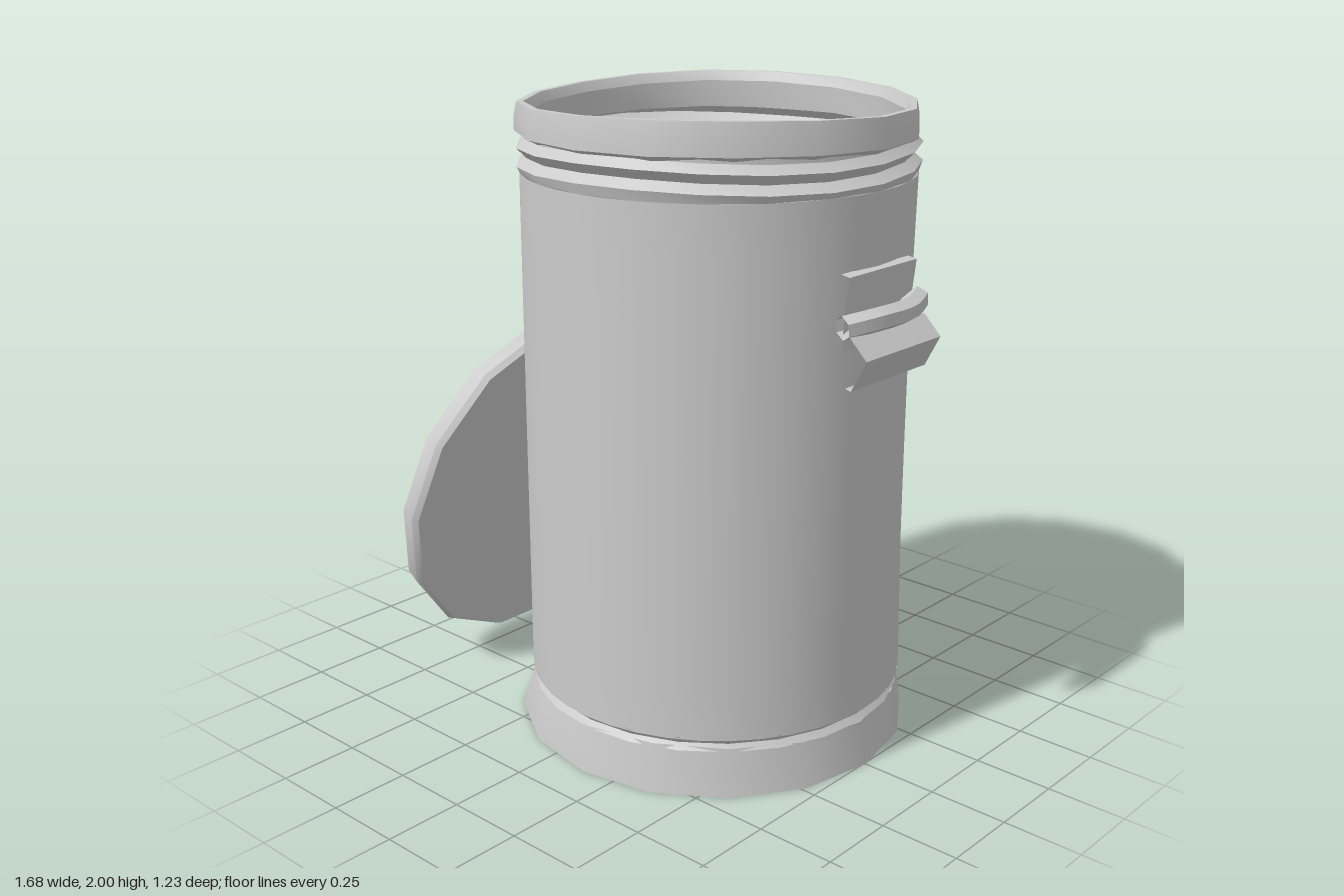
import * as THREE from 'three';
import { toCreasedNormals } from 'three/addons/utils/BufferGeometryUtils.js';

const material = new THREE.MeshStandardMaterial({ color: 0xcccccc, side: THREE.DoubleSide });
const BIN_X = 0.14;

function addMesh(parent, name, geometry, crease = 0.6) {
  const mesh = new THREE.Mesh(toCreasedNormals(geometry, crease), material);
  mesh.name = name;
  parent.add(mesh);
  return mesh;
}

// Lathe from [radius, height] pairs, optionally warped vertex by vertex
function turned(points, sides, warp) {
  const g = new THREE.LatheGeometry(points.map(([r, y]) => new THREE.Vector2(r, y)), sides);
  if (warp) {
    const p = g.attributes.position;
    const v = new THREE.Vector3();
    for (let i = 0; i < p.count; i++) {
      v.fromBufferAttribute(p, i);
      warp(v, Math.atan2(v.x, v.z));
      p.setXYZ(i, v.x, v.y, v.z);
    }
  }
  return g;
}

// Thin bent sheet: an x/y polyline swept along z
function sheet(points, z0, z1) {
  const position = [], index = [];
  points.forEach(([x, y], i) => {
    position.push(x, y, z0, x, y, z1);
    if (i) {
      const a = 2 * i - 2;
      index.push(a, a + 1, a + 2, a + 1, a + 3, a + 2);
    }
  });
  const g = new THREE.BufferGeometry();
  g.setAttribute('position', new THREE.Float32BufferAttribute(position, 3));
  g.setIndex(index);
  return g;
}

// Bowed grip, flattened towards the wall
function grip(xEnd, xMid, y) {
  const curve = new THREE.CatmullRomCurve3([
    new THREE.Vector3(xEnd, y - 0.01, 0.18),
    new THREE.Vector3(xMid, y, 0.08),
    new THREE.Vector3(xMid, y, -0.08),
    new THREE.Vector3(xEnd, y + 0.01, -0.18),
  ]);
  return new THREE.TubeGeometry(curve, 8, 0.036, 6, false);
}

export function createModel() {
  const model = new THREE.Group();
  model.name = 'dustbin';

  const bin = new THREE.Group();
  bin.name = 'bin';
  bin.position.x = BIN_X;
  model.add(bin);

  // Main wall, dented at the back
  const rows = [];
  for (let i = 0; i <= 10; i++) rows.push([0.595, 0.18 + 0.16 * i]);
  addMesh(bin, 'wall', turned(rows, 40, (v) => {
    const dent = Math.sin(Math.PI * (v.y - 0.18) / 1.6);
    if (v.z < -0.2) v.z += 0.05 * dent * (-v.z - 0.2) / 0.4;
  }));

  // Flared foot with a groove below the wall
  addMesh(bin, 'foot', turned([[0.615, 0], [0.605, 0.07], [0.59, 0.145]], 16, (v, a) => {
    if (v.x < 0) v.x *= 1 + 0.05 * (1 - v.y / 0.145);
    if (v.y > 0.1) v.y += 0.008 * Math.sin(3 * a);
  }));
  addMesh(bin, 'footGroove', turned([[0.59, 0.14], [0.575, 0.16], [0.595, 0.185]], 24));
  addMesh(bin, 'floor', turned([[0, 0], [0.615, 0]], 16, (v) => {
    if (v.x < 0) v.x *= 1.05;
  }));

  // Pressed ridges under the rim
  addMesh(bin, 'neckRidges', turned([
    [0.595, 1.78], [0.605, 1.805], [0.575, 1.83], [0.605, 1.86], [0.58, 1.885], [0.58, 1.91],
  ], 20, (v, a) => {
    if (v.y > 1.79) v.y += 0.007 * Math.sin(3 * a + 1);
  }), 0.5);

  // Uneven rolled rim
  addMesh(bin, 'rim', turned([
    [0.565, 1.88], [0.605, 1.90], [0.603, 1.95], [0.595, 1.99], [0.575, 1.99], [0.56, 1.96], [0.565, 1.88],
  ], 16, (v, a) => {
    v.y += 0.011 * Math.sin(2 * a + 0.4) * (v.y > 1.94 ? 1 : 0.5) - 0.001;
    const s = 1 + 0.008 * Math.sin(5 * a);
    v.x *= s;
    v.z *= s;
  }), 0.5);

  // Side handles: back plate, grip and bent loose flap
  const left = new THREE.Group();
  left.name = 'leftHandle';
  addMesh(left, 'plate', sheet([[0.725, 1.57], [0.755, 1.565], [0.74, 1.44], [0.735, 1.35]], -0.16, 0.16));
  addMesh(left, 'grip', grip(0.75, 0.785, 1.435));
  addMesh(left, 'flap', sheet([[0.765, 1.255], [0.785, 1.25], [0.835, 1.345], [0.775, 1.405]], -0.18, 0.18));

  const right = new THREE.Group();
  right.name = 'rightHandle';
  addMesh(right, 'plate', sheet([[-0.42, 1.58], [-0.46, 1.57], [-0.45, 1.44], [-0.46, 1.35]], -0.16, 0.16));
  addMesh(right, 'grip', grip(-0.465, -0.495, 1.435));
  addMesh(right, 'flap', sheet([[-0.545, 1.62], [-0.54, 1.605], [-0.43, 1.575], [-0.465, 1.45]], -0.18, 0.17));
  model.add(left, right);

  // Domed lid leaning against the bin
  const lid = new THREE.Group();
  lid.name = 'lid';
  lid.position.set(-0.617, 0.612, 0);
  lid.rotation.z = 1.318;
  addMesh(lid, 'lidShell', turned([
    [0, 0], [0.6, 0], [0.612, 0.02], [0.598, 0.08], [0.5, 0.105], [0.33, 0.145], [0.15, 0.158], [0, 0.162],
  ], 14), 0.45);

  // Small fin-like lid knob
  const fin = new THREE.Shape([[-0.08, 0.15], [0.08, 0.15], [0.04, 0.225], [-0.01, 0.235]]
    .map(([x, y]) => new THREE.Vector2(x, y)));
  const knob = addMesh(lid, 'lidKnob', new THREE.ExtrudeGeometry(fin, { depth: 0.025, bevelEnabled: false }));
  knob.position.z = -0.03;
  model.add(lid);

  return model;
}
